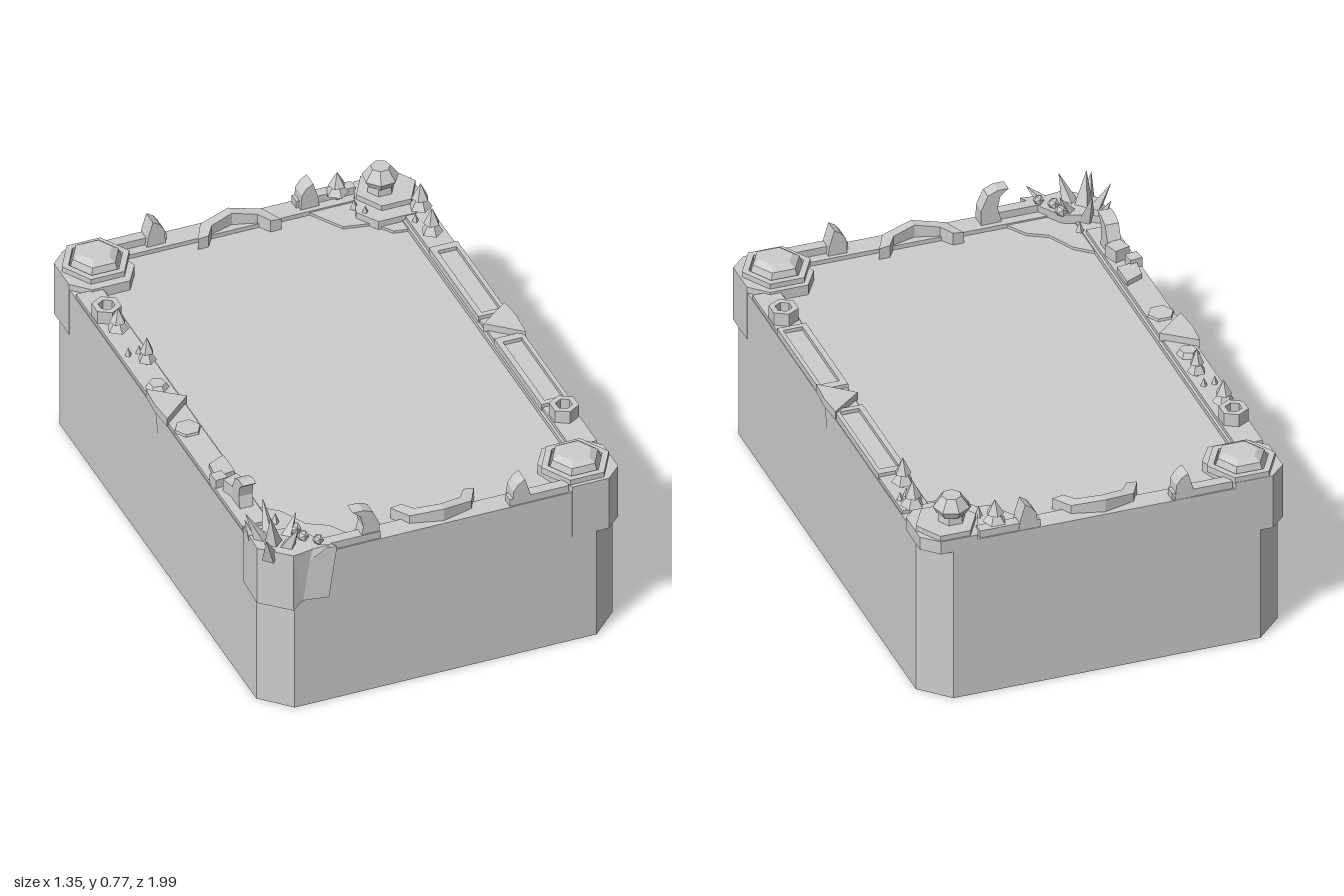
import * as THREE from 'three';

export function createModel() {
  const root = new THREE.Group();
  const mat = new THREE.MeshStandardMaterial({ color: 0xcccccc, flatShading: true, side: THREE.DoubleSide });

  const add = (name, geo, x = 0, y = 0, z = 0, rx = 0, ry = 0, rz = 0) => {
    const m = new THREE.Mesh(geo, mat);
    m.name = name;
    m.position.set(x, y, z);
    m.rotation.set(rx, ry, rz);
    root.add(m);
    return m;
  };
  // Prism from an outline of [x, z] corners between two heights
  const prism = (pts, y0, y1, hole) => {
    const v = a => a.map(([x, z]) => new THREE.Vector2(x, -z));
    const s = new THREE.Shape(v(pts));
    if (hole) s.holes.push(new THREE.Path(v(hole)));
    const g = new THREE.ExtrudeGeometry(s, { depth: y1 - y0, bevelEnabled: false });
    return g.rotateX(-Math.PI / 2).translate(0, y0, 0);
  };
  const rect = (x0, x1, z0, z1) => [[x0, z0], [x1, z0], [x1, z1], [x0, z1]];
  const octagon = (x, z0, z1, c) => [
    [-x + c, z0], [x - c, z0], [x, z0 + c], [x, z1 - c],
    [x - c, z1], [-x + c, z1], [-x, z1 - c], [-x, z0 + c]];
  const hex = (x, z, r, a = 0) => Array.from({ length: 6 }, (_, i) => {
    const t = a + i * Math.PI / 3;
    return [x + r * Math.cos(t), z + r * Math.sin(t)];
  });
  // Upright drum with flat-sided outline, standing on y0
  const drum = (name, x, z, y0, y1, r0, r1, n = 6, turn = Math.PI / 6) =>
    add(name, new THREE.CylinderGeometry(r1, r0, y1 - y0, n), x, (y0 + y1) / 2, z, 0, turn, 0);

  // Hollow box, playing surface and rim
  add('walls', prism(octagon(0.66, -1, 0.95, 0.1), 0, 0.62, octagon(0.652, -0.992, 0.942, 0.097)));
  add('floor', prism(octagon(0.655, -0.995, 0.945, 0.1), 0.598, 0.606));
  add('rim', prism(octagon(0.66, -1, 0.95, 0.1), 0.6, 0.622, rect(-0.55, 0.55, -0.92, 0.87)));
  for (const s of [-1, 1]) {
    const rail = rect(0.56, 0.657, -0.76, 0.72).map(([x, z]) => [s * x, z]);
    add('sideRail', prism(rail, 0.615, 0.636));
    for (const [x0, x1, z] of [[0.24, 0.46, 0.925], [0.24, 0.46, -0.975]])
      add('endRail', prism(rect(s * x0, s * x1, z - 0.02, z + 0.02), 0.615, 0.65));
  }

  // Corner brackets reaching down the walls
  const corner = (name, sx, sz, y0, y1) => {
    const ze = sz > 0 ? 0.952 : 1.0;
    const pts = [[0.662, 0.055], [0.662, 0.19], [0.6, 0.25], [0.46, 0.25], [0.41, 0.17], [0.47, 0], [0.605, 0]];
    add(name, prism(pts.map(([x, d]) => [sx * x, sz * (ze - d)]), y0, y1));
  };
  corner('cornerBracket', 1, 1, 0.435, 0.645);
  corner('cornerBracket', -1, -1, 0.435, 0.645);
  corner('mossyCorner', 1, -1, 0.59, 0.64);

  // Faceted gems in hexagonal settings
  for (const [x, z] of [[0.53, 0.83], [-0.53, -0.89]]) {
    add('gemSetting', prism(hex(x, z, 0.125), 0.64, 0.665, hex(x, z, 0.1)));
    drum('gem', x, z, 0.64, 0.685, 0.1, 0.085);
    drum('gemTop', x, z, 0.685, 0.7, 0.085, 0.06);
  }

  // Boulder on a hexagonal plinth
  add('boulderPlinth', prism(hex(0.55, -0.9, 0.11), 0.63, 0.66));
  drum('boulderStem', 0.53, -0.9, 0.65, 0.7, 0.05, 0.045);
  drum('boulder', 0.53, -0.9, 0.69, 0.715, 0.052, 0.065, 7);
  drum('boulderTop', 0.53, -0.9, 0.715, 0.756, 0.065, 0.035, 7);

  // Small two-tier trees and tufts
  const tree = (x, z, y, h, r) => {
    drum('treeTrunk', x, z, y - 0.01, y + h * 0.25, r * 0.25, r * 0.25, 5);
    add('treeSkirt', new THREE.ConeGeometry(r, h * 0.55, 5), x, y + h * 0.42, z);
    add('treeTop', new THREE.ConeGeometry(r * 0.75, h * 0.55, 5), x, y + h * 0.73, z, 0, 0.6, 0);
  };
  for (const [x, z, h, r] of [[0.39, -0.95, 0.1, 0.042], [0.62, -0.76, 0.115, 0.042], [0.6, -0.61, 0.115, 0.04],
    [-0.61, -0.5, 0.1, 0.04], [-0.59, -0.29, 0.11, 0.034]]) tree(x, z, 0.636, h, r);
  for (const [x, z] of [[0.42, -0.87], [0.44, -0.82], [0.58, -0.71], [0.64, -0.69], [0.61, -0.67],
    [-0.63, -0.36], [-0.59, -0.36], [-0.54, 0.73]])
    add('tuft', new THREE.ConeGeometry(0.016, 0.04, 4), x, 0.648, z);

  // Framed long panels on the left rail
  for (const [z0, z1] of [[-0.53, -0.09], [0.05, 0.47]]) {
    add('panelFrame', prism(rect(0.555, 0.66, z0, z1), 0.625, 0.65, rect(0.575, 0.645, z0 + 0.03, z1 - 0.02)));
  }

  // Hexagonal nuts and studs on the rails
  for (const [x, z] of [[0.61, 0.54], [-0.61, -0.6]])
    add('hexNut', prism(hex(x, z, 0.052, Math.PI / 6), 0.63, 0.685, hex(x, z, 0.03, Math.PI / 6)));
  drum('hexStud', -0.61, 0.12, 0.63, 0.645, 0.05, 0.046);
  drum('railStone', -0.61, -0.15, 0.63, 0.655, 0.045, 0.03, 6, 0.2);

  // Wedges halfway along the rails, each with a spike down the wall
  for (const s of [-1, 1]) {
    const wedge = [[0.55, -0.03], [0.665, -0.12], [0.672, -0.03], [0.665, 0.07]];
    add('railWedge', prism(wedge.map(([x, z]) => [s * x, z]), 0.63, 0.662));
    const spike = add('wallSpike', new THREE.ConeGeometry(0.02, 0.12, 4), s * 0.66, 0.585, -0.025, Math.PI);
    spike.scale.x = 0.5;
  }
  add('innerBrace', new THREE.BoxGeometry(0.01, 0.4, 0.19), -0.57, 0.4, -0.03);

  // Bent arches in the middle of both ends
  const half = [[0.155, 0], [0.115, 0.075], [0, 0.105]];
  const inner = [[0, 0.07], [0.085, 0.045], [0.115, 0]];
  const band = [...half, ...half.slice(0, 2).reverse().map(([x, z]) => [-x, z]),
    ...inner.slice(1).reverse().map(([x, z]) => [-x, z]), ...inner];
  for (const [s, z] of [[1, 0.83], [-1, -0.88]]) {
    const g = prism(band.map(([x, d]) => [x, z + s * d]), 0.605, 0.67);
    const p = g.attributes.position;
    // Top slopes away from the peak
    for (let i = 0; i < p.count; i++)
      if (p.getY(i) > 0.65) p.setY(i, 0.67 - Math.min(0.035, Math.abs(p.getX(i)) * 0.14));
    g.computeVertexNormals();
    add('endArch', g);
  }

  // Posts and horns: a side silhouette extruded to a slab
  const slab = (name, pts, depth, x, z, ry = 0) => {
    const s = new THREE.Shape(pts.map(p => new THREE.Vector2(...p)));
    const g = new THREE.ExtrudeGeometry(s, { depth, bevelEnabled: false }).translate(0, 0, -depth / 2);
    add(name, g, x, 0.62, z, 0, ry, 0);
  };
  const horn = [[-0.035, 0], [0.04, 0], [0.04, 0.06], [0.015, 0.115], [-0.02, 0.13], [-0.06, 0.13],
    [-0.03, 0.105], [-0.02, 0.06]];
  const post = [[-0.035, 0], [0.035, 0], [0.03, 0.04], [0.012, 0.1], [-0.012, 0.085], [-0.03, 0.06]];
  slab('frontHorn', horn, 0.05, -0.28, 0.915);
  slab('railHorn', horn, 0.05, -0.6, 0.59, Math.PI / 2);
  slab('frontPost', post, 0.06, 0.285, 0.915);
  for (const s of [-1, 1]) slab('backPost', post, 0.06, s * 0.285, -0.968, s < 0 ? Math.PI : 0);

  // Broken blocks on the right rail
  add('brokenBlock', new THREE.BoxGeometry(0.06, 0.055, 0.06), -0.6, 0.655, 0.52, 0, 0.3, 0);
  add('brokenBlock', new THREE.BoxGeometry(0.045, 0.04, 0.045), -0.635, 0.65, 0.455, 0, 0.1, 0);
  add('brokenSlab', prism([[-0.63, 0.36], [-0.565, 0.33], [-0.565, 0.43], [-0.64, 0.44]], 0.63, 0.655));

  // Cracked corner with a crystal cluster
  const crust = prism([[-0.662, 0.74], [-0.6, 0.78], [-0.5, 0.82], [-0.41, 0.97], [-0.5, 0.955],
    [-0.57, 0.965], [-0.668, 0.875]], 0.42, 0.65);
  const cp = crust.attributes.position;
  // Lower edge draws in toward the corner
  for (let i = 0; i < cp.count; i++)
    if (cp.getY(i) < 0.5 && cp.getX(i) > -0.55) {
      cp.setX(i, cp.getX(i) - 0.03);
      cp.setY(i, 0.445);
    }
  crust.computeVertexNormals();
  add('crackedCorner', crust);
  const up = new THREE.Vector3(0, 1, 0);
  for (const [x, z, dx, dy, dz, r] of [
    [-0.62, 0.83, -0.06, 0.13, -0.03, 0.03], [-0.6, 0.86, -0.02, 0.15, 0.02, 0.04], [-0.57, 0.89, 0.03, 0.12, 0.05, 0.035],
    [-0.63, 0.9, -0.03, 0.1, 0.04, 0.03], [-0.55, 0.84, 0.05, 0.1, -0.02, 0.03], [-0.59, 0.8, 0.0, 0.13, -0.06, 0.03],
    [-0.5, 0.93, 0.06, 0.06, 0.06, 0.03], [-0.64, 0.8, -0.03, 0.08, -0.03, 0.025]]) {
    const d = new THREE.Vector3(dx, dy, dz), len = d.length();
    const c = add('crystal', new THREE.ConeGeometry(r, len, 4).translate(0, len / 2, 0), x, 0.62, z);
    c.quaternion.setFromUnitVectors(up, d.normalize());
  }
  for (const [x, z, r] of [[-0.51, 0.83, 0.025], [-0.5, 0.88, 0.022], [-0.46, 0.92, 0.02]])
    add('pebble', new THREE.IcosahedronGeometry(r, 0), x, 0.66, z);

  // Ground patches spreading onto the surface
  add('groundPatch', prism([[-0.56, 0.6], [-0.49, 0.66], [-0.44, 0.76], [-0.37, 0.8], [-0.32, 0.88], [-0.56, 0.88]], 0.6, 0.616));
  add('groundPatch', prism([[0.27, -0.93], [0.35, -0.8], [0.45, -0.78], [0.5, -0.71], [0.56, -0.7], [0.56, -0.93]], 0.6, 0.616));
  return root;
}
